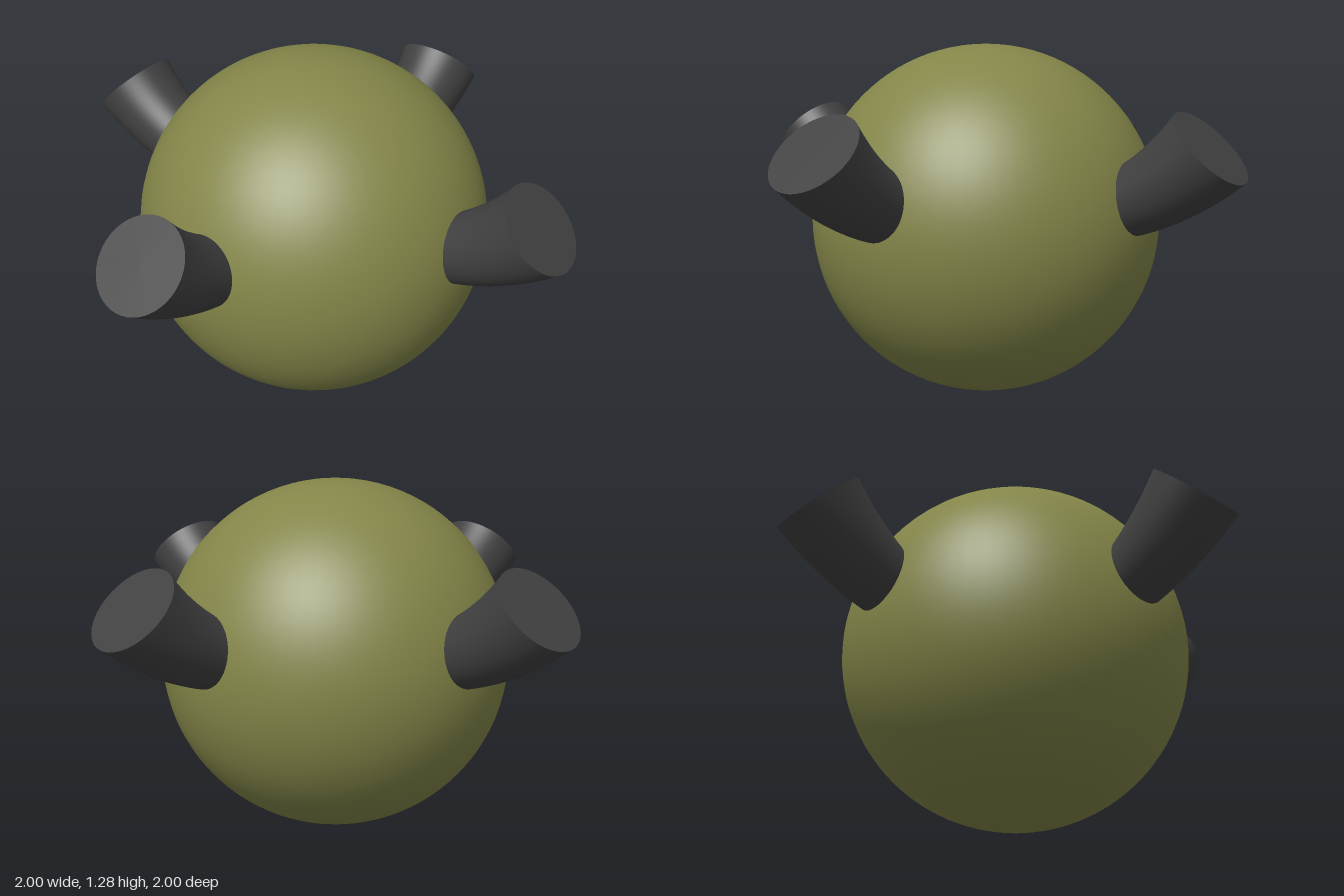
import * as THREE from 'three';

const olive = new THREE.MeshStandardMaterial({ color: 0x838548 });
olive.name = 'olive';
const charcoal = new THREE.MeshStandardMaterial({ color: 0x404040 });
charcoal.name = 'charcoal';

// A flaring cylinder bent along an upward curve in the xy plane
function spoutGeometry() {
  const path = new THREE.QuadraticBezierCurve(
    new THREE.Vector2(0.4, 0.69), new THREE.Vector2(0.688, 0.747), new THREE.Vector2(0.887, 0.947));
  const geometry = new THREE.CylinderGeometry(0.159, 0.1, 1, 48, 20);
  const { position, normal } = geometry.attributes;
  for (let i = 0; i < position.count; i++) {
    const t = THREE.MathUtils.clamp(position.getY(i) + 0.5, 0, 1);
    const centre = path.getPoint(t), along = path.getTangent(t);
    const x = position.getX(i);
    position.setXYZ(i, centre.x + x * along.y, centre.y - x * along.x, position.getZ(i));
    const nx = normal.getX(i), ny = normal.getY(i);
    normal.setXYZ(i, nx * along.y + ny * along.x, -nx * along.x + ny * along.y, normal.getZ(i));
  }
  return geometry;
}

export function createModel() {
  const model = new THREE.Group();
  model.name = 'spoutedBall';

  // Round body
  const body = new THREE.Mesh(new THREE.SphereGeometry(0.642, 64, 48), olive);
  body.name = 'body';
  body.position.y = 0.645;
  model.add(body);

  // Four spouts, one on each side
  const geometry = spoutGeometry();
  ['leftSpout', 'backSpout', 'rightSpout', 'frontSpout'].forEach((name, i) => {
    const spout = new THREE.Mesh(geometry, charcoal);
    spout.name = name;
    spout.rotation.y = i * Math.PI / 2;
    model.add(spout);
  });
  return model;
}
